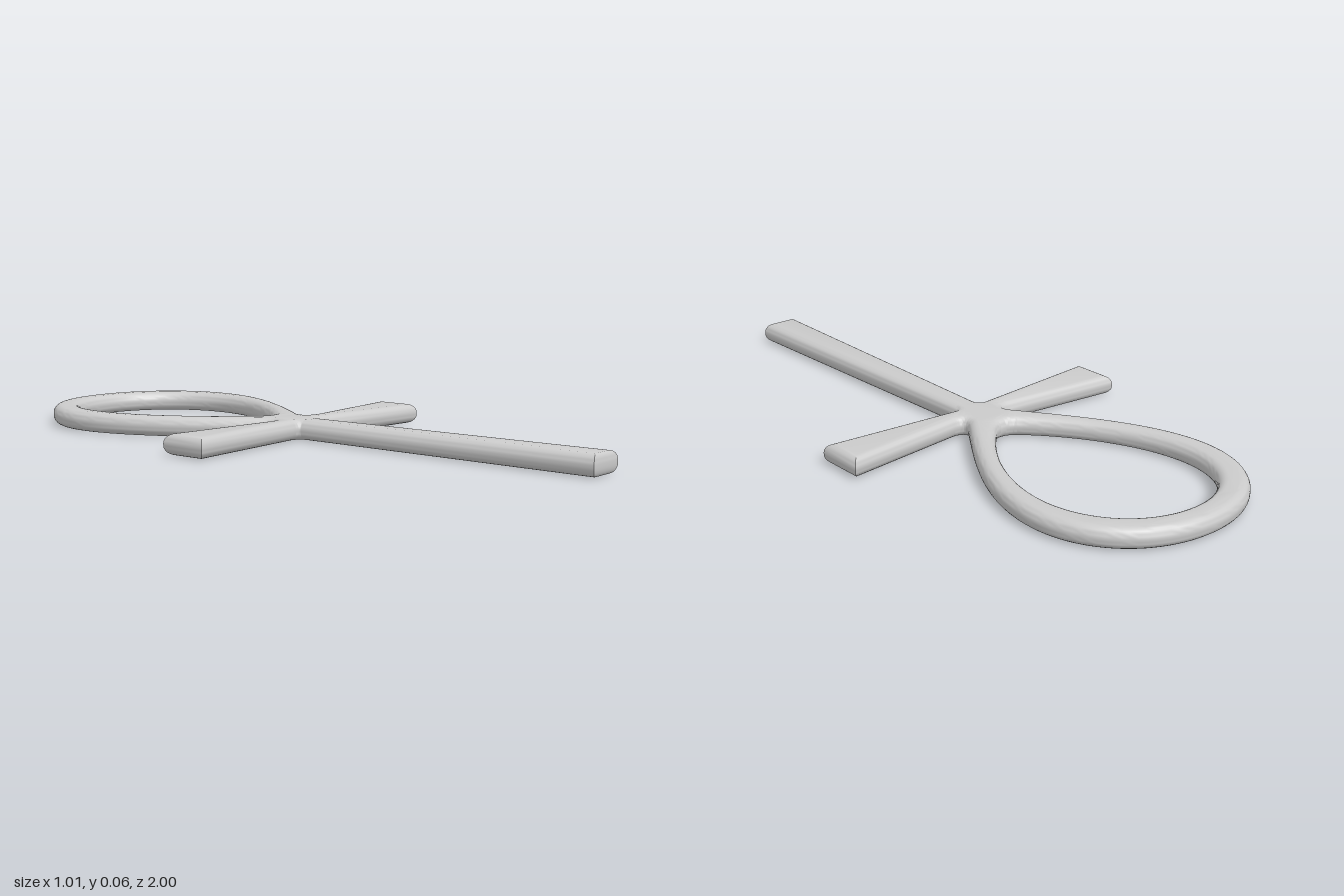
import * as THREE from 'three';
import { toCreasedNormals } from 'three/addons/utils/BufferGeometryUtils.js';

// Full closed clockwise outline from its right half, which starts on the centre line
function mirrored(half) {
  const left = half.filter((p) => p.x > 1e-6).reverse().map((p) => new THREE.Vector2(-p.x, p.y));
  return [...half, ...left];
}

export function createModel() {
  const group = new THREE.Group();
  const material = new THREE.MeshStandardMaterial({ color: 0xcccccc });

  // Right half of the outline: loop, flared arm, then tapered stem
  const outer = new THREE.Path();
  outer.moveTo(0, 1);
  outer.bezierCurveTo(0.2, 1, 0.346, 0.86, 0.346, 0.67);
  outer.bezierCurveTo(0.346, 0.47, 0.2, 0.28, 0.09, 0.125);
  outer.quadraticCurveTo(0.06, 0.085, 0.11, 0.088);
  outer.lineTo(0.505, 0.13);
  outer.lineTo(0.505, -0.022);
  outer.lineTo(0.06, 0.016);
  outer.quadraticCurveTo(0.044, 0.016, 0.044, 0);
  outer.lineTo(0.064, -1);

  // Right half of the teardrop opening
  const inner = new THREE.Path();
  inner.moveTo(0, 0.915);
  inner.bezierCurveTo(0.155, 0.915, 0.265, 0.8, 0.265, 0.645);
  inner.bezierCurveTo(0.265, 0.47, 0.14, 0.29, 0.04, 0.197);
  inner.quadraticCurveTo(0.02, 0.18, 0, 0.18);

  // The opening runs against the outline so that its bevel cuts into the solid
  const shape = new THREE.Shape(mirrored(outer.getPoints(24)));
  shape.holes.push(new THREE.Path(mirrored(inner.getPoints(24)).reverse()));

  // Rounded edges cut inward from the outline, laid flat on the ground
  const round = 0.028;
  const solid = new THREE.ExtrudeGeometry(shape, {
    depth: 0.007,
    bevelThickness: round,
    bevelSize: round,
    bevelOffset: -round,
    bevelSegments: 6,
  });
  solid.translate(0, 0, round);
  solid.rotateX(-Math.PI / 2);

  // Shorter rounding at the foot of the stem
  const pos = solid.attributes.position;
  for (let i = 0; i < pos.count; i++) {
    const z = pos.getZ(i);
    if (z > 0.95) pos.setZ(i, 1 - (1 - z) * 0.45);
  }

  const body = new THREE.Mesh(toCreasedNormals(solid, 0.6), material);
  body.name = 'loopedCross';
  group.add(body);
  return group;
}
